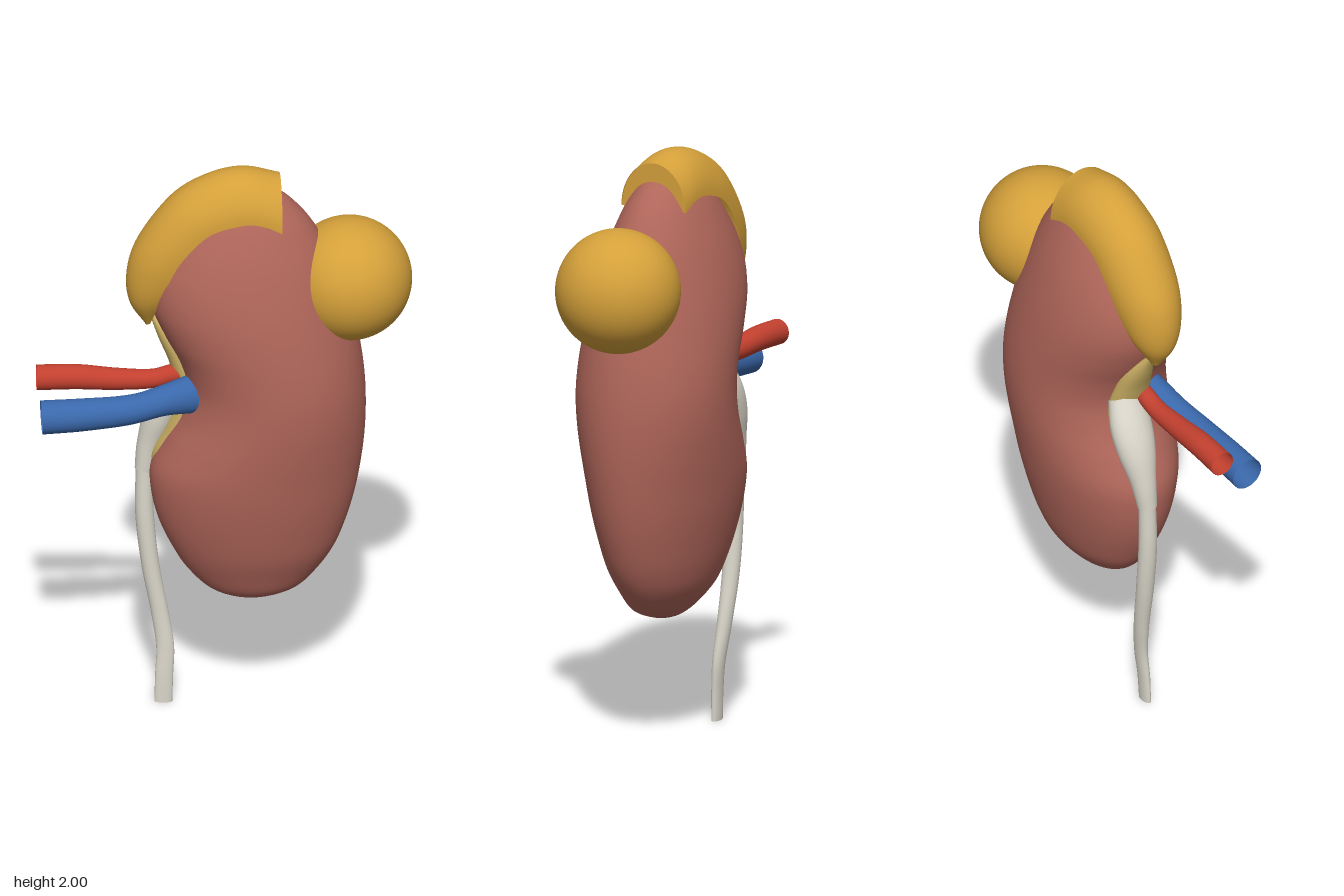
import * as THREE from 'three';
import { mergeVertices } from 'three/addons/utils/BufferGeometryUtils.js';

const V = (x, y, z = 0) => new THREE.Vector3(x, y, z);
const material = (name, color, side = THREE.FrontSide) => {
  const m = new THREE.MeshStandardMaterial({ color, side });
  m.name = name;
  return m;
};

// Weld the seam so that the surface shades smoothly all round
function smooth(geo) {
  geo.deleteAttribute('uv');
  geo.deleteAttribute('normal');
  const welded = mergeVertices(geo, 1e-5);
  welded.computeVertexNormals();
  return welded;
}

// Stack of elliptical sections; each station is [y, left x, right x, half depth, centre z]
function loft(stations, rows, sides) {
  const outline = new THREE.CatmullRomCurve3(stations.map(s => V(s[1], s[0], s[2])), false, 'catmullrom');
  const depth = new THREE.CatmullRomCurve3(stations.map(s => V(s[3], s[4] || 0)), false, 'catmullrom');
  const geo = new THREE.CylinderGeometry(1, 1, 1, sides, rows, true);
  const p = geo.attributes.position;
  for (let i = 0; i < p.count; i++) {
    const t = p.getY(i) + 0.5, o = outline.getPoint(t), d = depth.getPoint(t);
    p.setXYZ(i, (o.x + o.z) / 2 + p.getX(i) * (o.z - o.x) / 2, o.y, d.y + p.getZ(i) * d.x);
  }
  return smooth(geo);
}

// Open tube whose radius (and flattening in z) follows a list of [radius, z scale]
function taperedTube(points, radii, rows = 48, sides = 28) {
  const path = new THREE.CatmullRomCurve3(points);
  const size = new THREE.CatmullRomCurve3(radii.map(r => V(r[0], r[1])), false, 'catmullrom');
  const geo = new THREE.TubeGeometry(path, rows, 1, sides);
  const p = geo.attributes.position, v = V(0, 0);
  for (let i = 0; i < p.count; i++) {
    const t = Math.floor(i / (sides + 1)) / rows;
    const c = path.getPointAt(t), s = size.getPoint(t);
    v.fromBufferAttribute(p, i).sub(c).multiplyScalar(s.x);
    v.z *= s.y;
    v.add(c);
    p.setXYZ(i, v.x, v.y, v.z);
  }
  return smooth(geo);
}

// Arched saddle between an inner and an outer line, with a flat end wall
function saddle(inner, outer, widths, rows = 48, arc = 24) {
  const a = new THREE.CatmullRomCurve3(inner, false, 'catmullrom');
  const b = new THREE.CatmullRomCurve3(outer, false, 'catmullrom');
  const w = new THREE.CatmullRomCurve3(widths.map(x => V(x, 0)), false, 'catmullrom');
  const geo = new THREE.PlaneGeometry(1, 1, arc, rows);
  const p = geo.attributes.position;
  for (let i = 0; i < p.count; i++) {
    const t = p.getY(i) + 0.5, angle = (p.getX(i) + 0.5) * Math.PI;
    const v = a.getPoint(t).lerp(b.getPoint(t), Math.sin(angle));
    p.setXYZ(i, v.x, v.y, w.getPoint(t).x * Math.cos(angle));
  }
  geo.computeVertexNormals();
  const end = new THREE.Shape();
  const i0 = inner[inner.length - 1], o0 = outer[outer.length - 1], hw = widths[widths.length - 1];
  for (let i = 0; i <= arc; i++) {
    const angle = i / arc * Math.PI;
    const x = hw * Math.cos(angle), y = i0.y + (o0.y - i0.y) * Math.sin(angle);
    if (i) end.lineTo(x, y); else end.moveTo(x, y);
  }
  const wall = new THREE.ShapeGeometry(end).rotateY(Math.PI / 2).translate(o0.x - 0.004, 0, 0);
  return [geo, wall];
}

export function createModel() {
  const group = new THREE.Group();
  const flesh = material('kidney red brown', 0xb0665a);
  const fat = material('fat yellow', 0xd4a03a, THREE.DoubleSide);
  const sinus = material('sinus tan', 0xc8ad62);
  const red = material('artery red', 0xc2402f, THREE.DoubleSide);
  const blue = material('vein blue', 0x3a68ab, THREE.DoubleSide);
  const pale = material('ureter ivory', 0xd9d5c9, THREE.DoubleSide);
  const add = (name, geo, mat) => {
    const mesh = new THREE.Mesh(geo, mat);
    mesh.name = name;
    group.add(mesh);
    return mesh;
  };

  // Bean-shaped body with the notch on its right side
  add('kidneyBody', loft([
    [0.405, 0.09, 0.09, 0, 0.01], [0.415, 0.02, 0.16, 0.045, 0.01], [0.45, -0.06, 0.25, 0.09, 0.01],
    [0.52, -0.13, 0.32, 0.135], [0.6, -0.178, 0.37, 0.168], [0.7, -0.222, 0.408, 0.195],
    [0.8, -0.246, 0.435, 0.217], [0.9, -0.248, 0.453, 0.233], [1, -0.205, 0.465, 0.245],
    [1.1, -0.155, 0.47, 0.253], [1.2, -0.133, 0.468, 0.256], [1.3, -0.155, 0.458, 0.253],
    [1.4, -0.205, 0.441, 0.245], [1.5, -0.245, 0.417, 0.232], [1.6, -0.25, 0.386, 0.211],
    [1.7, -0.215, 0.345, 0.182], [1.8, -0.15, 0.288, 0.142], [1.86, -0.095, 0.24, 0.11],
    [1.9, -0.04, 0.195, 0.08], [1.925, 0.015, 0.13, 0.042], [1.932, 0.07, 0.07, 0],
  ], 110, 72), flesh);

  // Fat filling the notch
  add('sinusFat', loft([
    [0.88, -0.245, -0.235, 0.005, -0.02], [0.95, -0.242, -0.15, 0.045, -0.02], [1.05, -0.2, -0.1, 0.068, -0.02],
    [1.17, -0.165, -0.06, 0.078, -0.02], [1.28, -0.187, -0.09, 0.068, -0.02],
    [1.37, -0.222, -0.13, 0.05, -0.02], [1.46, -0.252, -0.24, 0.005, -0.02],
  ], 40, 32), sinus);

  // Round growth on the outer side
  add('roundMass', new THREE.SphereGeometry(0.21, 64, 40), fat).position.set(0.415, 1.58, 0);

  // Fat cap over the upper pole
  const [cap, capEnd] = saddle(
    [V(-0.25, 1.44), V(-0.225, 1.54), V(-0.195, 1.63), V(-0.15, 1.72), V(-0.06, 1.815), V(0.05, 1.85), V(0.12, 1.845), V(0.185, 1.815)],
    [V(-0.265, 1.43), V(-0.32, 1.52), V(-0.328, 1.63), V(-0.29, 1.75), V(-0.18, 1.9), V(-0.06, 1.975), V(0.06, 2.0), V(0.185, 1.972)],
    [0.02, 0.08, 0.108, 0.12, 0.124, 0.125, 0.125, 0.125]);
  add('fatCap', cap, fat);
  add('fatCapEnd', capEnd, fat);

  // Blood vessels, open at the far end
  add('artery', taperedTube(
    [V(-0.63, 1.242, 0.005), V(-0.5, 1.242, 0.008), V(-0.36, 1.23, 0.01), V(-0.24, 1.228, 0.01), V(-0.17, 1.245, 0.01), V(-0.09, 1.25, 0.01)],
    [[0.043, 1], [0.042, 1], [0.037, 1], [0.032, 1], [0.033, 1]]), red);
  add('vein', taperedTube(
    [V(-0.62, 1.147, 0.113), V(-0.48, 1.152, 0.112), V(-0.32, 1.163, 0.105), V(-0.2, 1.185, 0.085), V(-0.1, 1.2, 0.07)],
    [[0.057, 1], [0.055, 1], [0.051, 1], [0.05, 1], [0.07, 0.8]]), blue);

  // Funnel and the long tube below it
  add('renalPelvis', taperedTube(
    [V(-0.13, 1.24, -0.045), V(-0.17, 1.16, -0.05), V(-0.21, 1.07, -0.052), V(-0.25, 0.95, -0.05), V(-0.266, 0.86, -0.046)],
    [[0.045, 1.3], [0.055, 1.35], [0.055, 1.2], [0.043, 1.05], [0.033, 1]]), pale);
  add('ureter', taperedTube(
    [V(-0.266, 0.87, -0.046), V(-0.266, 0.7, -0.044), V(-0.246, 0.5, -0.042), V(-0.216, 0.33, -0.035), V(-0.198, 0.2, -0.024), V(-0.202, 0.1, -0.016), V(-0.205, 0, -0.013)],
    [[0.029, 1], [0.031, 1], [0.03, 1], [0.029, 0.85], [0.03, 0.6], [0.03, 0.43]], 64), pale);

  return group;
}
